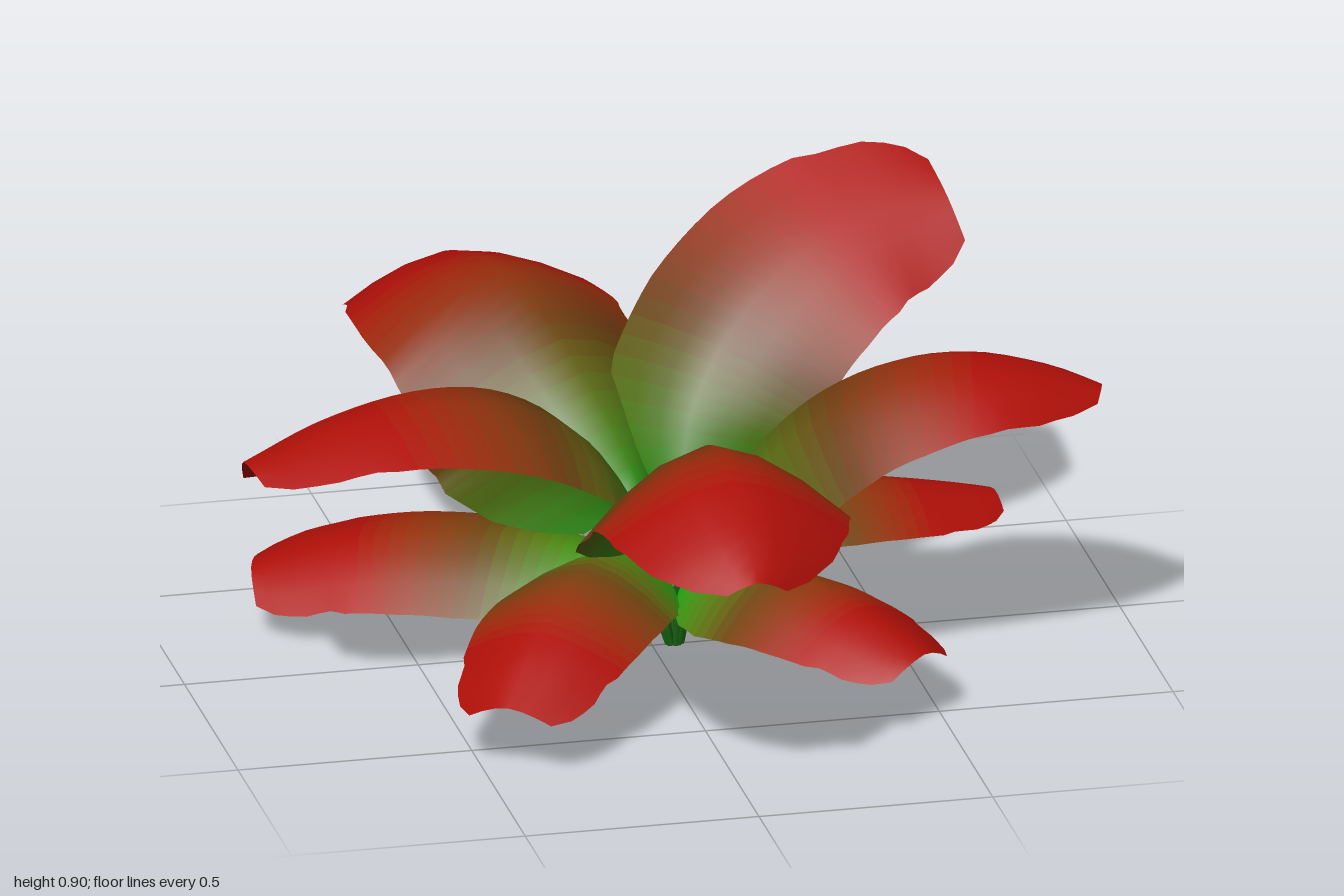
import * as THREE from 'three';

const V = (p) => new THREE.Vector3(...p);
const ROWS = 24, COLS = 6;

// Leaf colours, blending from a green base to a red tip
function gradient(from, mid, to) {
  const a = new THREE.Color(from), b = new THREE.Color(mid), c = new THREE.Color(to);
  return Array.from({ length: ROWS }, (_, i) => {
    const s = Math.min(1, i / (ROWS * 0.7));
    const color = s < 0.5 ? a.clone().lerp(b, s * 2) : b.clone().lerp(c, s * 2 - 1);
    return new THREE.MeshStandardMaterial({ color, side: THREE.DoubleSide });
  });
}

// Half-width along the leaf, as a share of its widest point
const OUTLINE = [[0, 0.32], [0.05, 0.58], [0.12, 0.78], [0.25, 0.95], [0.42, 1], [0.6, 0.98], [0.75, 0.9], [0.87, 0.7], [0.95, 0.46], [1, 0.18]];
function outline(s) {
  const i = Math.max(1, OUTLINE.findIndex(([x]) => x >= s - 1e-6));
  const [x0, y0] = OUTLINE[i - 1], [x1, y1] = OUTLINE[i];
  return y0 + (y1 - y0) * (s - x0) / (x1 - x0);
}

// Blade: a plane bent along a midrib, its sides drooping away from the ridge
function blade({ rib, width, droop, up = [0, 1, 0], blunt = 0 }) {
  const curve = new THREE.CatmullRomCurve3(rib.map(V));
  const geo = new THREE.PlaneGeometry(1, 1, COLS, ROWS);
  const pos = geo.attributes.position;
  for (let i = 0; i < pos.count; i++) {
    const u = pos.getX(i) * 2, s = THREE.MathUtils.clamp(pos.getY(i) + 0.5, 0, 1);
    const tangent = curve.getTangentAt(s);
    const side = tangent.clone().cross(V(up)).normalize();
    const normal = side.clone().cross(tangent);
    const w = outline(s) + Math.max(0, s - 0.8) * 5 * blunt;
    const drop = THREE.MathUtils.lerp(droop[0], droop[1], Math.min(1, s * 1.3)) * w * Math.abs(u) ** 1.6;
    const p = curve.getPointAt(s).addScaledVector(side, u * w * width).addScaledVector(normal, -drop);
    pos.setXYZ(i, p.x, p.y, p.z);
  }
  geo.computeVertexNormals();
  // One colour band per row, the tip row coming first
  geo.clearGroups();
  for (let r = 0; r < ROWS; r++) geo.addGroup(r * COLS * 6, COLS * 6, ROWS - 1 - r);
  return geo;
}

const UPPER = [
  { name: 'upperFrontLeaf', width: 0.275, droop: [0.22, 0.14], blunt: 0.05,
    rib: [[0.04, 0.31, 0.08], [0.03, 0.45, 0.19], [0.02, 0.57, 0.35], [0.02, 0.64, 0.52], [0.01, 0.65, 0.66], [0, 0.59, 0.86], [0, 0.52, 1]] },
  { name: 'upperLeftLeaf', width: 0.26, droop: [0.24, 0.11], up: [0, 1, -0.08], blunt: 0.05,
    rib: [[0.11, 0.31, 0.03], [0.2, 0.44, 0.06], [0.33, 0.57, 0.1], [0.48, 0.645, 0.14], [0.64, 0.66, 0.17], [0.8, 0.63, 0.2], [0.91, 0.59, 0.23]] },
  { name: 'upperRightLeaf', width: 0.27, droop: [0.22, 0.13], up: [0, 1, -0.28], blunt: 0.2,
    rib: [[-0.05, 0.31, 0.02], [-0.13, 0.44, 0.04], [-0.24, 0.57, 0.07], [-0.38, 0.645, 0.1], [-0.54, 0.66, 0.12], [-0.74, 0.62, 0.14], [-0.91, 0.55, 0.16]] },
  { name: 'upperBackLeaf', width: 0.295, droop: [0.26, 0.1], blunt: 0.22,
    rib: [[-0.01, 0.33, -0.06], [-0.06, 0.46, -0.17], [-0.12, 0.57, -0.32], [-0.17, 0.635, -0.46], [-0.21, 0.65, -0.58], [-0.25, 0.59, -0.82], [-0.28, 0.485, -1]] },
  { name: 'raisedBackLeftLeaf', width: 0.24, droop: [0.12, 0.03], up: [-0.08, 0.215, 0.19], blunt: 0.25,
    rib: [[0.07, 0.33, -0.04], [0.11, 0.48, -0.1], [0.22, 0.63, -0.18], [0.38, 0.74, -0.26], [0.54, 0.79, -0.31], [0.71, 0.81, -0.34]] },
];

const LOWER = [
  { name: 'lowerBackRightLeaf', width: 0.21, droop: [0.11, 0.07], up: [0, 1, 0.2], blunt: 0.3,
    rib: [[-0.05, 0.18, -0.02], [-0.25, 0.22, -0.12], [-0.45, 0.21, -0.22], [-0.62, 0.17, -0.29], [-0.78, 0.11, -0.34]] },
  { name: 'lowerFrontRightLeaf', width: 0.19, droop: [0.12, 0.08], blunt: 0.3,
    rib: [[-0.03, 0.23, 0.06], [-0.15, 0.29, 0.2], [-0.27, 0.285, 0.37], [-0.37, 0.23, 0.52], [-0.46, 0.15, 0.66]] },
  { name: 'lowerFrontLeftLeaf', width: 0.195, droop: [0.12, 0.08], blunt: 0.3,
    rib: [[0.08, 0.19, 0.06], [0.16, 0.235, 0.19], [0.26, 0.245, 0.33], [0.36, 0.21, 0.47], [0.45, 0.16, 0.58]] },
  { name: 'lowerLeftLeaf', width: 0.185, droop: [0.1, 0.06], blunt: 0.2,
    rib: [[0.13, 0.24, -0.02], [0.28, 0.305, -0.05], [0.44, 0.3, -0.08], [0.6, 0.27, -0.1], [0.76, 0.235, -0.12]] },
  { name: 'lowerBackLeaf', width: 0.19, droop: [0.09, 0.05], blunt: 0.35,
    rib: [[0.03, 0.22, -0.08], [0.03, 0.3, -0.23], [0.03, 0.31, -0.39], [0.04, 0.29, -0.52], [0.07, 0.25, -0.64]] },
];

export function createModel() {
  const plant = new THREE.Group();
  plant.name = 'plant';
  const upperColors = gradient(0x2f8a14, 0x6a3e10, 0xae0f08);
  const lowerColors = gradient(0x1ca812, 0x6a4610, 0xae0f08);
  const stemMaterial = new THREE.MeshStandardMaterial({ color: 0x1a6a14 });

  const addLeaf = (spec, colors) => {
    const leaf = new THREE.Group();
    leaf.name = spec.name;
    const surface = new THREE.Mesh(blade(spec), colors);
    surface.name = 'blade';

    // Stalk from the root up to the start of the blade
    const end = V(spec.rib[0]);
    const root = new THREE.Vector3(0.05 + (end.x - 0.05) * 0.15, 0, end.z * 0.15);
    const bend = root.clone().lerp(end, 0.5).add(new THREE.Vector3(0, 0.03, 0));
    const path = new THREE.CatmullRomCurve3([root, bend, end]);
    const stalk = new THREE.Mesh(new THREE.TubeGeometry(path, 6, 0.008, 5), stemMaterial);
    stalk.name = 'stalk';
    leaf.add(surface, stalk);
    plant.add(leaf);
  };
  UPPER.forEach((spec) => addLeaf(spec, upperColors));
  LOWER.forEach((spec) => addLeaf(spec, lowerColors));
  return plant;
}
